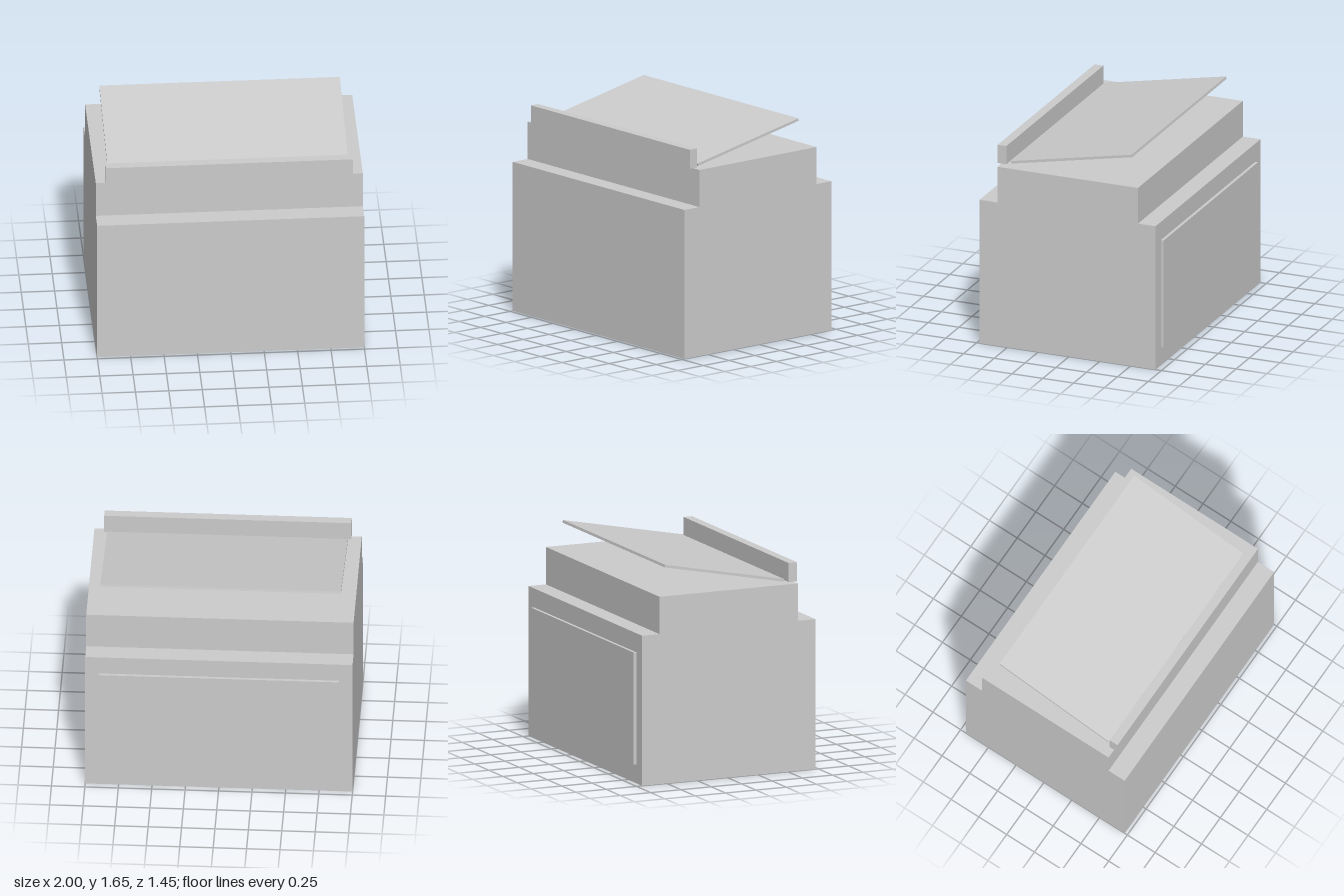
import * as THREE from 'three';

const material = new THREE.MeshStandardMaterial({ color: 0xcccccc, flatShading: true });

// Box given by its min and max corners
function box(name, [x0, y0, z0], [x1, y1, z1]) {
  const mesh = new THREE.Mesh(new THREE.BoxGeometry(x1 - x0, y1 - y0, z1 - z0), material);
  mesh.position.set((x0 + x1) / 2, (y0 + y1) / 2, (z0 + z1) / 2);
  mesh.name = name;
  return mesh;
}

export function createModel() {
  const group = new THREE.Group();
  group.name = 'cabinet';

  // Stepped body: side profile (z, y) extruded across the width
  const profile = new THREE.Shape([
    [-0.703, 0], [0.726, 0], [0.726, 1.145], [0.581, 1.145],
    [0.581, 1.43], [-0.56, 1.43], [-0.56, 1.145], [-0.703, 1.145],
  ].map(([z, y]) => new THREE.Vector2(z, y)));
  const bodyGeometry = new THREE.ExtrudeGeometry(profile, { depth: 2, bevelEnabled: false });
  bodyGeometry.rotateY(-Math.PI / 2).translate(1, 0, 0);
  const body = new THREE.Mesh(bodyGeometry, material);
  body.name = 'body';
  group.add(body);

  // Raised panel on the back and rail along the front of the top
  group.add(box('backPanel', [-0.9, 0.145, -0.726], [0.9, 1.0, -0.703]));
  group.add(box('frontRail', [-0.925, 1.43, 0.541], [0.925, 1.575, 0.611]));

  // Thin tilted board, rising toward the back
  const board = box('tiltedBoard', [-0.9, -0.01, -0.5], [0.9, 0.01, 0.5]);
  board.position.set(0, 1.539, 0.022);
  board.rotation.x = 0.197;
  group.add(board);

  return group;
}
